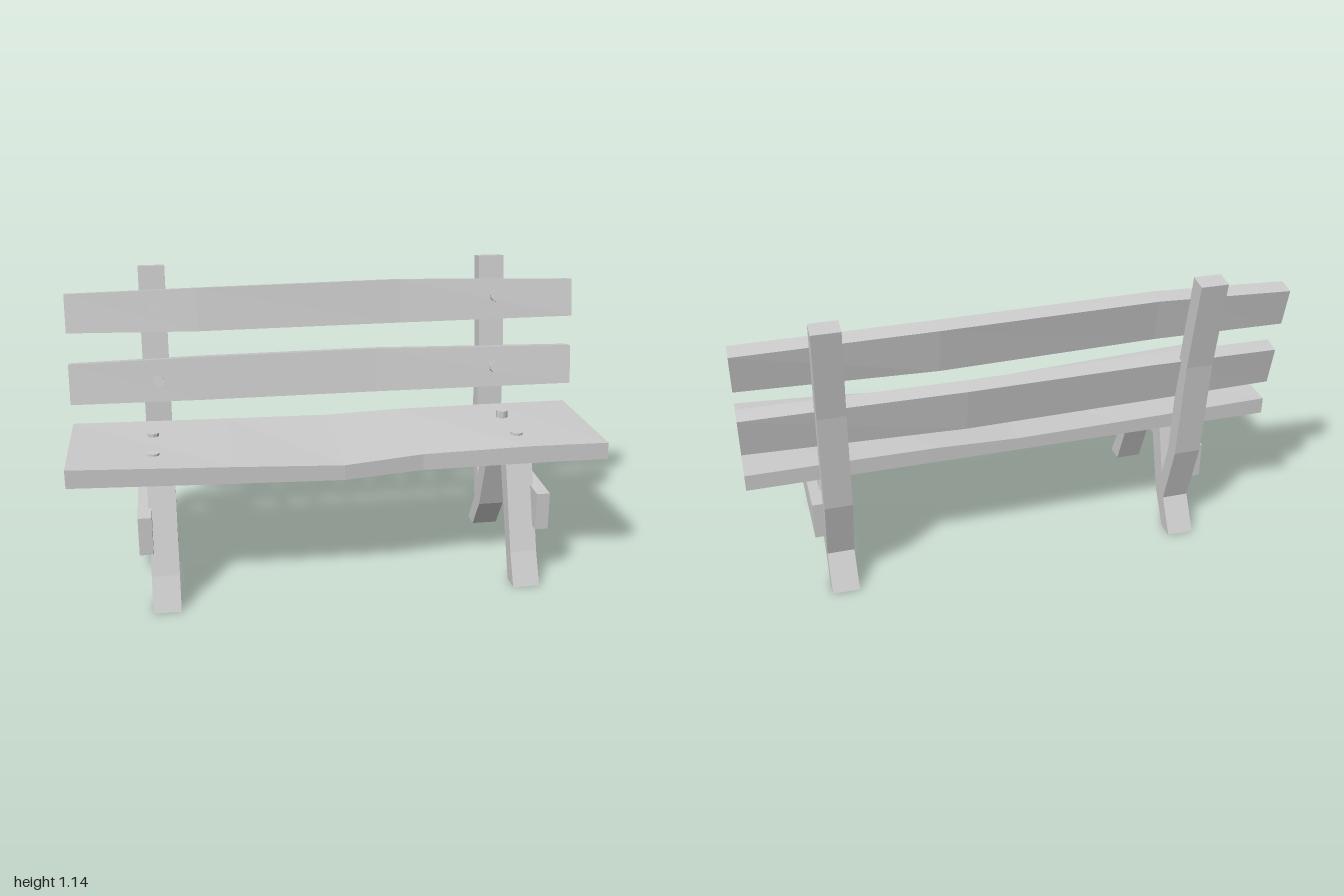
import * as THREE from 'three';

const mat = new THREE.MeshStandardMaterial({ color: 0xcccccc, flatShading: true, side: THREE.DoubleSide });

// Skin a run of four-point cross-sections; open leaves out the last side of each section.
function loft(name, rings, { open = false, capStart = true, capEnd = true } = {}) {
  const pos = [];
  const quad = (a, b, c, d) => pos.push(...a, ...b, ...c, ...a, ...c, ...d);
  for (let i = 0; i < rings.length - 1; i++) {
    for (let j = 0; j < (open ? 3 : 4); j++) {
      const k = (j + 1) % 4;
      quad(rings[i][j], rings[i][k], rings[i + 1][k], rings[i + 1][j]);
    }
  }
  const [s, e] = [rings[0], rings[rings.length - 1]];
  if (capStart) quad(s[3], s[2], s[1], s[0]);
  if (capEnd) quad(e[0], e[1], e[2], e[3]);
  const geo = new THREE.BufferGeometry();
  geo.setAttribute('position', new THREE.Float32BufferAttribute(pos, 3));
  geo.computeVertexNormals();
  const mesh = new THREE.Mesh(geo, mat);
  mesh.name = name;
  return mesh;
}

// Upright timber of constant width; stations are [backZ, backY, frontZ, frontY], bottom to top.
function upright(name, x, stations, opts) {
  const h = 0.051;
  return loft(name, stations.map(([zb, yb, zf, yf]) => [
    [x - h, yb, zb], [x - h, yf, zf], [x + h, yf, zf], [x + h, yb, zb],
  ]), opts);
}

// Tilted backrest board; stations are [x, topY, bottomY, backZ].
function backBoard(name, stations) {
  return loft(name, stations.map(([x, top, bottom, z]) => [
    [x, bottom - 0.013, z + 0.03], [x, top - 0.012, z],
    [x, top, z + 0.063], [x, bottom, z + 0.093],
  ]));
}

function bolt(name, x, y, z, tilt = 0) {
  const mesh = new THREE.Mesh(new THREE.CylinderGeometry(0.023, 0.023, 0.03, 10), mat);
  mesh.name = name;
  mesh.position.set(x, y, z);
  mesh.rotation.x = tilt;
  return mesh;
}

export function createModel() {
  const group = new THREE.Group();
  group.name = 'bench';

  // Seat: sagging board, open underneath; [x, frontTop, frontBottom, frontZ, backTop]
  const seat = [
    [-1, 0.545, 0.475, 0.285, 0.54], [-0.4, 0.522, 0.457, 0.285, 0.53],
    [0, 0.505, 0.447, 0.285, 0.525], [0.3, 0.518, 0.455, 0.252, 0.535],
    [0.7, 0.535, 0.467, 0.275, 0.537], [1, 0.54, 0.475, 0.295, 0.537],
  ];
  group.add(loft('seat', seat.map(([x, top, bottom, z, back]) => [
    [x, 0.475, -0.218], [x, back, -0.218], [x, top, z], [x, bottom, z],
  ]), { open: true }));

  // Backrest boards
  group.add(backBoard('upperBackBoard', [
    [-1, 1.053, 0.908, -0.305], [-0.5, 1.065, 0.902, -0.284], [0.3, 1.068, 0.9, -0.305], [1, 1.053, 0.908, -0.279],
  ]));
  group.add(backBoard('lowerBackBoard', [
    [-1, 0.788, 0.635, -0.258], [-0.5, 0.796, 0.63, -0.262], [0.2, 0.797, 0.628, -0.272], [1, 0.787, 0.635, -0.243],
  ]));

  for (const [side, x] of [['right', -0.667], ['left', 0.687]]) {
    // Splayed legs with open feet
    group.add(upright(side + 'FrontLeg', x, [
      [0.297, 0, 0.37, 0], [0.25, 0.12, 0.312, 0.12], [0.105, 0.485, 0.181, 0.485],
    ], { capStart: false }));
    group.add(upright(side + 'RearLeg', x, [
      [-0.287, 0, -0.215, 0], [-0.207, 0.13, -0.133, 0.125], [-0.095, 0.485, -0.012, 0.485],
    ], { capStart: false }));

    // Bent post carrying the backrest
    group.add(upright(side + 'BackPost', x, [
      [-0.207, 0.13, -0.15, 0.15], [-0.278, 0.385, -0.214, 0.37],
      [-0.31, 0.78, -0.242, 0.78], [-0.368, 1.13, -0.3, 1.14],
    ]));

    // Side brace joining legs and post on the outer face
    const bx = Math.sign(x) * (x < 0 ? 0.731 : 0.752), h = 0.025;
    group.add(loft(side + 'Brace', [[-0.222, 0.225, 0.37], [0.313, 0.21, 0.355]].map(([z, lo, hi]) => [
      [bx - h, lo, z], [bx + h, lo, z], [bx + h, hi, z], [bx - h, hi, z],
    ])));

    // Bolts on the backrest boards and seat
    const boltX = x < 0 ? -0.66 : 0.687;
    group.add(bolt(side + 'UpperBackBolt', boltX, 0.995, x < 0 ? -0.211 : -0.215, 1.35));
    group.add(bolt(side + 'LowerBackBolt', boltX, 0.71, x < 0 ? -0.182 : -0.173, 1.35));
    group.add(bolt(side + 'SeatRearBolt', 0.69 * Math.sign(x), x < 0 ? 0.53 : 0.549, -0.06));
    group.add(bolt(side + 'SeatFrontBolt', 0.69 * Math.sign(x), x < 0 ? 0.524 : 0.53, 0.14));
  }
  return group;
}
